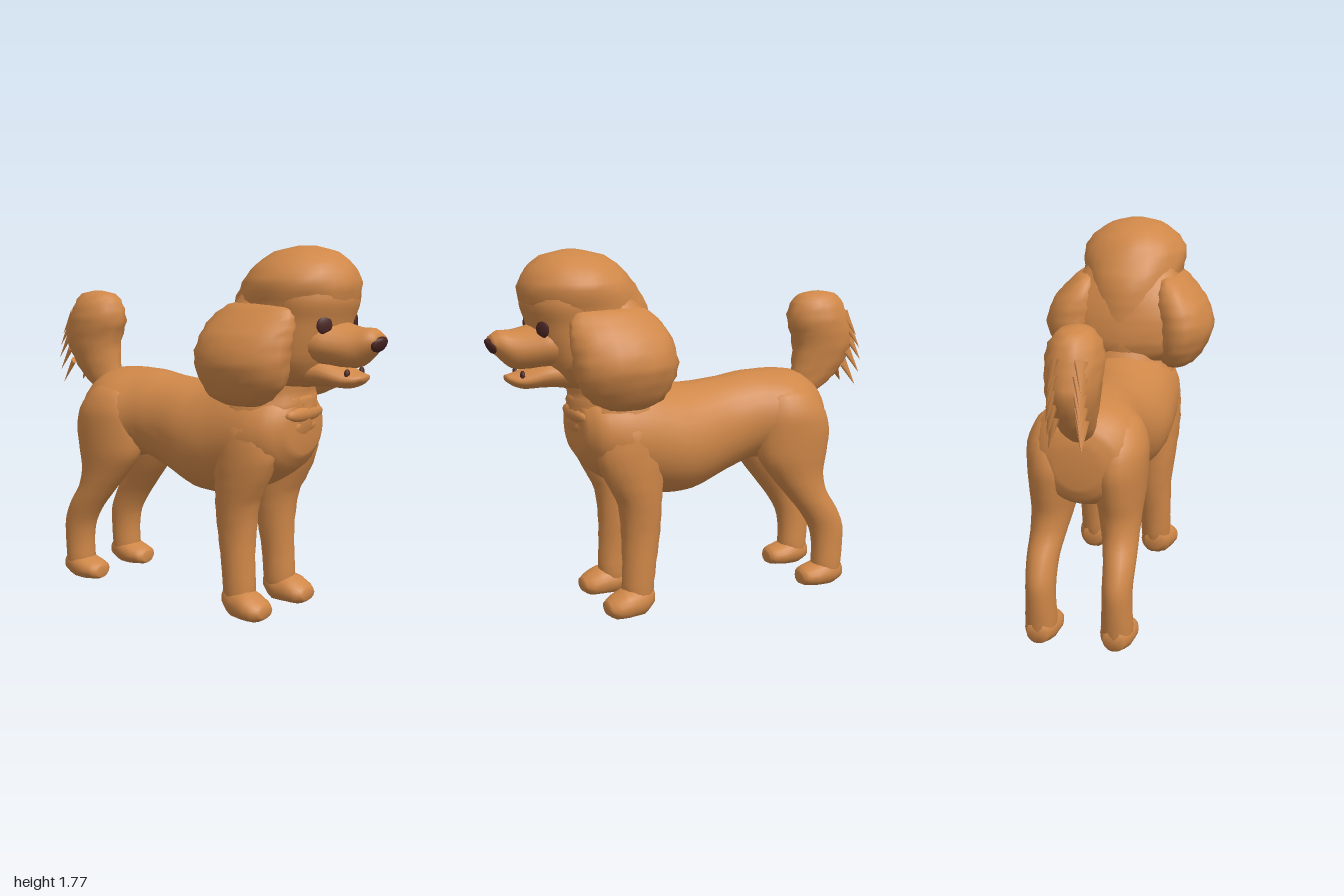
import * as THREE from 'three';
import { mergeGeometries } from 'three/addons/utils/BufferGeometryUtils.js';

const fur = new THREE.MeshStandardMaterial({ color: 0xcf8748 });
fur.name = 'apricotFur';
const dark = new THREE.MeshStandardMaterial({ color: 0x4a2623 });
dark.name = 'darkBrown';

// Smooth closed skin over elliptical rings [x, y, z, radiusX, radiusOther],
// listed in rising order along the axis ('y' or 'z').
function loft(axis, rings, { side = 1, rough = 0, seg = 20, steps = 3 } = {}) {
  const mids = new THREE.CatmullRomCurve3(rings.map(r => new THREE.Vector3(r[0] * side, r[1], r[2])));
  const radii = new THREE.CatmullRomCurve3(rings.map(r => new THREE.Vector3(r[3], r[4], 0)));
  const n = (rings.length - 1) * steps;
  const pos = [], idx = [];
  const put = (x, y, z) => pos.push(x, Math.max(0, y), z);
  for (let i = 0; i <= n; i++) {
    const c = mids.getPoint(i / n), r = radii.getPoint(i / n);
    for (let j = 0; j < seg; j++) {
      const t = (j / seg) * Math.PI * 2;
      const k = 1 + rough * Math.sin(5 * t + i * 1.9) * Math.sin(3 * t - i * 1.1);
      const u = Math.cos(t) * r.x * k, v = Math.sin(t) * r.y * k;
      if (axis === 'y') put(c.x + u, c.y, c.z + v);
      else put(c.x + u, c.y - v, c.z);
      if (i < n) {
        const a = i * seg + j, b = i * seg + (j + 1) % seg;
        idx.push(a, a + seg, b, b, a + seg, b + seg);
      }
    }
  }
  // End caps
  const first = mids.getPoint(0), last = mids.getPoint(1), f = pos.length / 3;
  put(first.x, first.y, first.z);
  put(last.x, last.y, last.z);
  for (let j = 0; j < seg; j++) {
    const k = (j + 1) % seg;
    idx.push(f, j, k, f + 1, n * seg + k, n * seg + j);
  }
  const g = new THREE.BufferGeometry();
  g.setAttribute('position', new THREE.Float32BufferAttribute(pos, 3));
  g.setIndex(idx);
  g.computeVertexNormals();
  return g;
}

// Small flat pointed lock of fur with its base at p, pointing along d, turned to face angle a
function lock(p, d, length, radius, a) {
  const g = new THREE.ConeGeometry(radius, length, 6);
  g.scale(1, 1, 0.35);
  g.translate(0, length / 2, 0);
  g.rotateY(a);
  const dir = new THREE.Vector3(...d).normalize();
  g.applyQuaternion(new THREE.Quaternion().setFromUnitVectors(new THREE.Vector3(0, 1, 0), dir));
  return g.translate(...p);
}

export function createModel() {
  const model = new THREE.Group();
  model.name = 'poodle';
  const add = (name, geometry, material = fur) => {
    const m = new THREE.Mesh(geometry, material);
    m.name = name;
    model.add(m);
    return m;
  };

  // Torso and neck
  add('torso', loft('z', [
    [0, 0.86, -0.74, 0.1, 0.1], [0, 0.87, -0.71, 0.19, 0.18], [0, 0.88, -0.6, 0.26, 0.24],
    [0, 0.89, -0.5, 0.278, 0.24], [0, 0.905, -0.35, 0.225, 0.225], [0, 0.87, -0.2, 0.22, 0.24],
    [0, 0.825, 0, 0.265, 0.27], [0, 0.83, 0.12, 0.28, 0.28], [0, 0.86, 0.25, 0.28, 0.285],
    [0, 0.89, 0.4, 0.275, 0.26], [0, 0.91, 0.52, 0.235, 0.2], [0, 0.93, 0.585, 0.14, 0.13],
  ], { seg: 28 }));
  add('neck', loft('y', [
    [0, 0.8, 0.33, 0.22, 0.22], [0, 0.92, 0.35, 0.255, 0.245], [0, 1.02, 0.36, 0.24, 0.245],
    [0, 1.1, 0.375, 0.215, 0.22], [0, 1.25, 0.42, 0.2, 0.2],
  ], { rough: 0.04 }));

  // Head: topknot, full hair at the nape, and face
  add('head', loft('y', [
    [0, 1.05, 0.37, 0.15, 0.14], [0, 1.12, 0.38, 0.2, 0.2], [0, 1.2, 0.4, 0.22, 0.23],
    [0, 1.3, 0.44, 0.235, 0.26], [0, 1.4, 0.475, 0.245, 0.285], [0, 1.5, 0.515, 0.255, 0.3],
    [0, 1.6, 0.555, 0.27, 0.278], [0, 1.68, 0.567, 0.225, 0.23], [0, 1.74, 0.575, 0.14, 0.15],
    [0, 1.767, 0.58, 0.04, 0.04],
  ], { seg: 28, rough: 0.02 }));
  add('napeHair', loft('y', [
    [0, 1.05, 0.34, 0.18, 0.09], [0, 1.12, 0.335, 0.28, 0.145], [0, 1.2, 0.335, 0.34, 0.165],
    [0, 1.3, 0.345, 0.345, 0.165], [0, 1.4, 0.37, 0.31, 0.165], [0, 1.5, 0.41, 0.255, 0.16],
    [0, 1.6, 0.46, 0.21, 0.15],
  ], { seg: 28, rough: 0.025 }));
  add('face', loft('y', [
    [0, 1.13, 0.56, 0.12, 0.08], [0, 1.18, 0.57, 0.18, 0.13], [0, 1.26, 0.58, 0.225, 0.165],
    [0, 1.36, 0.59, 0.235, 0.19], [0, 1.44, 0.6, 0.235, 0.2], [0, 1.52, 0.61, 0.245, 0.215],
    [0, 1.58, 0.6, 0.24, 0.22],
  ], { seg: 24 }));
  add('muzzle', loft('z', [
    [0, 1.345, 0.62, 0.19, 0.13], [0, 1.335, 0.74, 0.17, 0.11], [0, 1.325, 0.8, 0.145, 0.1],
    [0, 1.32, 0.88, 0.11, 0.09], [0, 1.345, 0.94, 0.08, 0.065], [0, 1.355, 0.98, 0.05, 0.03],
  ]));
  add('lowerJaw', loft('z', [
    [0, 1.2, 0.55, 0.15, 0.09], [0, 1.2, 0.72, 0.13, 0.07],
    [0, 1.175, 0.83, 0.095, 0.045], [0, 1.175, 0.875, 0.07, 0.03], [0, 1.185, 0.91, 0.03, 0.015],
  ]));
  add('nose', loft('z', [
    [0, 1.338, 0.945, 0.05, 0.035], [0, 1.34, 0.97, 0.062, 0.036],
    [0, 1.35, 0.988, 0.045, 0.024], [0, 1.36, 1.0, 0.018, 0.01],
  ], { seg: 12 }), dark);

  for (const side of [1, -1]) {
    const label = side > 0 ? 'left' : 'right';
    const part = (name, axis, rings, rough = 0.02) =>
      add(label + name, loft(axis, rings, { side, rough }));

    // Eye and mouth corner
    const eye = add(label + 'Eye', new THREE.SphereGeometry(0.04, 14, 10), dark);
    eye.scale.z = 0.3;
    eye.position.set(side * 0.13, 1.42, 0.765);
    eye.rotation.y = side * 0.5;
    const corner = add(label + 'MouthCorner', new THREE.SphereGeometry(0.025, 8, 6), dark);
    corner.scale.set(0.7, 1, 0.5);
    corner.position.set(side * 0.062, 1.2, 0.845);

    // Full drooping ear
    part('Ear', 'y', [
      [0.25, 1.045, 0.4, 0.06, 0.1], [0.26, 1.08, 0.4, 0.1, 0.17], [0.275, 1.16, 0.415, 0.135, 0.23],
      [0.285, 1.26, 0.42, 0.155, 0.25], [0.265, 1.36, 0.43, 0.145, 0.247], [0.235, 1.44, 0.45, 0.11, 0.225],
      [0.21, 1.5, 0.47, 0.07, 0.18], [0.2, 1.52, 0.48, 0.02, 0.1],
    ], 0.04);

    // Front leg and paw
    part('FrontLeg', 'y', [
      [0.165, 0.04, 0.325, 0.065, 0.06], [0.165, 0.12, 0.325, 0.078, 0.08],
      [0.165, 0.25, 0.315, 0.08, 0.085], [0.16, 0.4, 0.305, 0.088, 0.095],
      [0.165, 0.55, 0.31, 0.1, 0.11], [0.17, 0.66, 0.335, 0.107, 0.14],
      [0.17, 0.8, 0.36, 0.113, 0.17], [0.16, 0.93, 0.36, 0.113, 0.16], [0.14, 1.03, 0.36, 0.06, 0.1],
    ], 0.03);
    part('FrontPaw', 'z', [
      [0.17, 0.08, 0.255, 0.05, 0.05], [0.17, 0.065, 0.31, 0.08, 0.08], [0.18, 0.055, 0.4, 0.092, 0.075],
      [0.18, 0.045, 0.46, 0.082, 0.055], [0.18, 0.045, 0.495, 0.05, 0.03],
    ]);

    // Hind leg and paw
    part('HindLeg', 'y', [
      [0.18, 0.03, -0.74, 0.065, 0.07], [0.18, 0.1, -0.74, 0.075, 0.08], [0.18, 0.2, -0.745, 0.07, 0.085],
      [0.18, 0.3, -0.735, 0.07, 0.095], [0.18, 0.4, -0.685, 0.075, 0.105], [0.17, 0.5, -0.615, 0.085, 0.115],
      [0.16, 0.6, -0.565, 0.1, 0.147], [0.155, 0.7, -0.54, 0.117, 0.19], [0.15, 0.82, -0.54, 0.13, 0.205],
      [0.15, 0.92, -0.53, 0.13, 0.19], [0.14, 1.02, -0.51, 0.1, 0.14], [0.12, 1.08, -0.5, 0.04, 0.05],
    ], 0);
    part('HindPaw', 'z', [
      [0.18, 0.06, -0.815, 0.05, 0.05], [0.18, 0.06, -0.74, 0.08, 0.075],
      [0.18, 0.05, -0.66, 0.085, 0.06], [0.18, 0.045, -0.6, 0.07, 0.045], [0.18, 0.04, -0.58, 0.04, 0.03],
    ]);
  }

  // Tail pompom
  add('tail', loft('y', [
    [0, 0.98, -0.67, 0.05, 0.06], [0, 1.04, -0.715, 0.075, 0.105], [0, 1.12, -0.76, 0.095, 0.14],
    [0, 1.25, -0.795, 0.12, 0.165], [0, 1.36, -0.765, 0.13, 0.17], [0, 1.45, -0.755, 0.11, 0.145],
    [0, 1.5, -0.755, 0.07, 0.1], [0, 1.515, -0.755, 0.02, 0.03],
  ], { rough: 0.05 }));

  // Loose drooping locks on the back of the tail
  const tailLocks = [];
  for (let i = 0; i < 5; i++) {
    for (const s of [-1, 1]) {
      const y = 1.14 + i * 0.065;
      const z = -0.89 - 0.03 * Math.sin((i / 4) * Math.PI);
      tailLocks.push(lock([s * 0.06, y, z], [s * 0.1, -1, -0.55], 0.14, 0.04, s * 0.5));
    }
  }
  add('tailLocks', mergeGeometries(tailLocks));

  // Soft folds of fur across the chest
  [[1.05, 0.565, 0.11], [0.99, 0.575, 0.15], [0.93, 0.56, 0.13]].forEach(([y, z, w], i) => {
    const fold = add('chestFold' + (i + 1), new THREE.SphereGeometry(1, 16, 8));
    fold.scale.set(w, 0.04, 0.035);
    fold.position.set(0, y, z);
  });
  return model;
}
